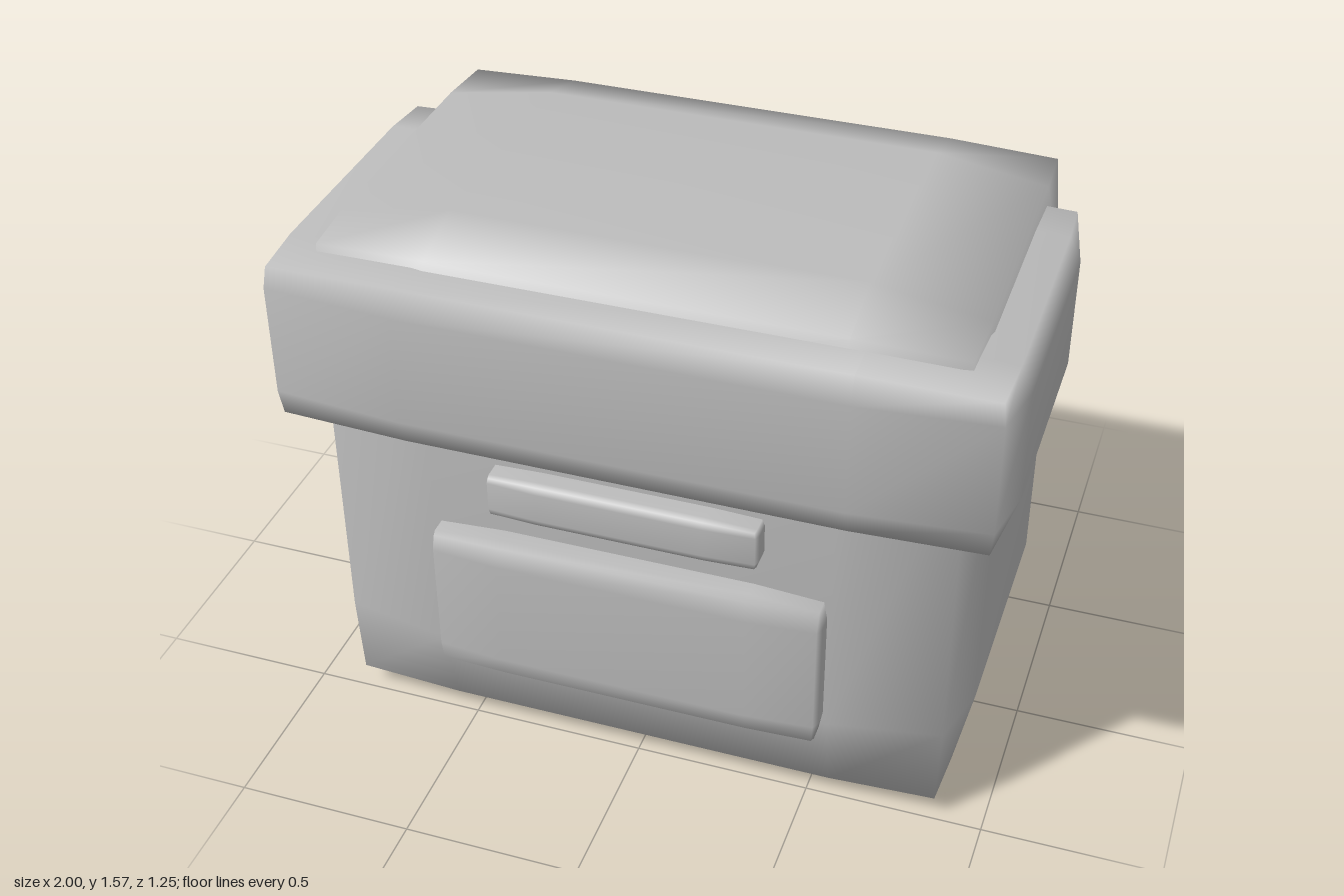
import * as THREE from 'three';
import { mergeVertices } from 'three/addons/utils/BufferGeometryUtils.js';

// Pillow-edged box with smooth normals. Each axis lists
// [low face, low edge, low inner, high inner, high edge, high face].
function softBox(name, material, axes, cornerInset) {
  const box = new THREE.BoxGeometry(1, 1, 1, 3, 3, 3);
  box.deleteAttribute('uv');
  box.deleteAttribute('normal');
  const geometry = mergeVertices(box, 1e-3);
  geometry.clearGroups();
  const pos = geometry.attributes.position;
  for (let i = 0; i < pos.count; i++) {
    const cell = [pos.getX(i), pos.getY(i), pos.getZ(i)].map((v) => Math.round((v + 0.5) * 3));
    const extremes = cell.filter((c) => c === 0 || c === 3).length;
    const p = cell.map((c, a) => {
      const [low, lowEdge, lowInner, highInner, highEdge, high] = axes[a];
      if (c === 1) return lowInner;
      if (c === 2) return highInner;
      // face points reach full size, edges pull in, corners a little more
      if (extremes === 1) return c === 0 ? low : high;
      const inset = extremes === 3 ? cornerInset : 0;
      return c === 0 ? lowEdge + inset : highEdge - inset;
    });
    pos.setXYZ(i, ...p);
  }
  geometry.computeVertexNormals();
  const mesh = new THREE.Mesh(geometry, material);
  mesh.name = name;
  return mesh;
}

// Symmetric axis from its positive half
const mirrored = (inner, edge, full) => [-full, -edge, -inner, inner, edge, full];

export function createModel() {
  const group = new THREE.Group();
  group.name = 'pouch';
  const grey = new THREE.MeshStandardMaterial({ color: 0xbcbcbc });
  grey.name = 'plain grey';

  group.add(
    // main container
    softBox('body', grey, [
      mirrored(0.56, 0.87, 0.92),
      [0, 0.055, 0.31, 1.26, 1.52, 1.57],
      [-0.625, -0.575, -0.39, 0.31, 0.495, 0.55],
    ], 0.008),
    // flap wrapping the upper front and sides
    softBox('frontFlap', grey, [
      mirrored(0.6, 0.967, 1),
      [1.01, 1.02, 1.1, 1.42, 1.49, 1.5],
      [-0.365, -0.357, -0.2, 0.43, 0.595, 0.627],
    ], 0.008),
    // small clasp under the flap
    softBox('clasp', grey, [
      mirrored(0.23, 0.368, 0.375),
      [0.838, 0.843, 0.863, 0.947, 0.965, 0.97],
      [0.48, 0.483, 0.51, 0.595, 0.612, 0.62],
    ], 0.003),
    // raised pocket on the front
    softBox('frontPocket', grey, [
      mirrored(0.35, 0.54, 0.55),
      [0.28, 0.292, 0.35, 0.68, 0.735, 0.747],
      [0.46, 0.465, 0.5, 0.595, 0.616, 0.63],
    ], 0.004),
  );
  return group;
}
